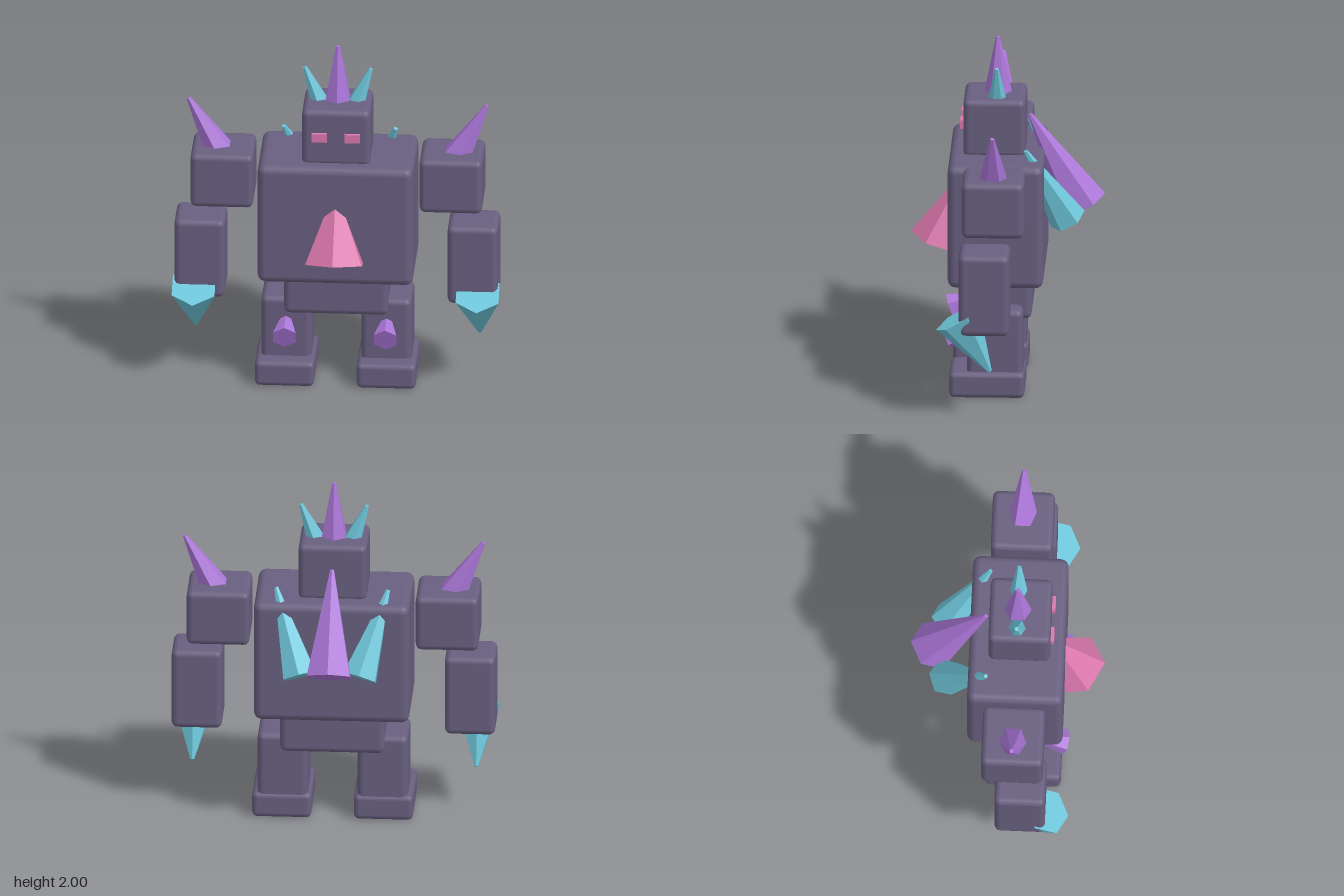
import * as THREE from 'three';
import { RoundedBoxGeometry } from 'three/addons/geometries/RoundedBoxGeometry.js';

const flat = (name, color, faceted = false) => {
  const m = new THREE.MeshStandardMaterial({ color, flatShading: faceted });
  m.name = name;
  return m;
};

export function createModel() {
  const stone = flat('slate stone', 0x685f7f);
  const purple = flat('purple crystal', 0xab76d8, true);
  const teal = flat('teal crystal', 0x6ec6da, true);
  const pink = flat('pink crystal', 0xda77ac, true);

  const model = new THREE.Group();
  model.name = 'crystalGolem';

  // Bevelled stone block given by its extents on each axis
  function block(name, [x0, x1], [y0, y1], [z0, z1], radius = 0.035) {
    const geo = new RoundedBoxGeometry(x1 - x0, y1 - y0, z1 - z0, 2, radius);
    const mesh = new THREE.Mesh(geo, stone);
    mesh.name = name;
    mesh.position.set((x0 + x1) / 2, (y0 + y1) / 2, (z0 + z1) / 2);
    model.add(mesh);
  }

  // Six-sided crystal tapering from the centre of its wide end to its tip
  function crystal(name, material, base, tip, radius, tipRadius = 0.012) {
    const a = new THREE.Vector3(...base);
    const b = new THREE.Vector3(...tip);
    const d = b.clone().sub(a);
    const length = d.length();
    d.normalize();
    const mesh = new THREE.Mesh(new THREE.CylinderGeometry(tipRadius, radius, length, 6), material);
    mesh.name = name;
    mesh.position.copy(a).lerp(b, 0.5);
    mesh.rotation.set(Math.atan2(d.z, d.y), 0, -Math.asin(d.x));
    model.add(mesh);
  }

  // Body core
  block('head', [-0.193, 0.193], [1.34, 1.68], [-0.105, 0.245]);
  block('torso', [-0.44, 0.44], [0.64, 1.36], [-0.215, 0.325], 0.045);
  block('waist', [-0.295, 0.295], [0.42, 0.72], [-0.145, 0.245]);

  // Crystals on the centre line
  crystal('crownCrystal', purple, [0, 1.64, 0.055], [0, 2, 0.055], 0.086);
  crystal('chestCrystal', pink, [0, 0.795, 0.371], [0, 1.186, 0.248], 0.185);
  crystal('backCrystal', purple, [0, 1.015, -0.428], [0, 1.545, -0.125], 0.14);

  for (const s of [1, -1]) {
    const side = s > 0 ? 'left' : 'right';
    const span = (a, b) => (s > 0 ? [a, b] : [-b, -a]);

    // Limbs
    block(side + 'Shoulder', span(0.47, 0.825), [1.055, 1.38], [-0.12, 0.23]);
    block(side + 'Forearm', span(0.63, 0.915), [0.505, 0.98], [-0.04, 0.245]);
    block(side + 'Leg', span(0.14, 0.425), [0.08, 0.51], [-0.1, 0.215]);
    block(side + 'Foot', span(0.12, 0.455), [0, 0.15], [-0.11, 0.315], 0.03);

    // Eye
    const eye = new THREE.Mesh(new THREE.BoxGeometry(0.087, 0.05, 0.04), pink);
    eye.name = side + 'Eye';
    eye.position.set(s * 0.093, 1.52, 0.245);
    model.add(eye);

    // Paired crystals
    crystal(side + 'CrownCrystal', teal, [s * 0.1, 1.64, 0.055], [s * 0.187, 1.867, 0.055], 0.057);
    crystal(side + 'ShoulderCrystal', purple, [s * 0.673, 1.34, 0.055], [s * 0.845, 1.657, 0.055], 0.087);
    crystal(side + 'Claw', teal, [s * 0.803, 0.584, 0.253], [s * 0.803, 0.27, 0.07], 0.14);
    crystal(side + 'KneeCrystal', purple, [s * 0.285, 0.316, 0.335], [s * 0.285, 0.391, 0.128], 0.074);
    crystal(side + 'BackCrystal', teal, [s * 0.17, 0.982, -0.345], [s * 0.317, 1.425, -0.112], 0.107);
  }
  return model;
}
